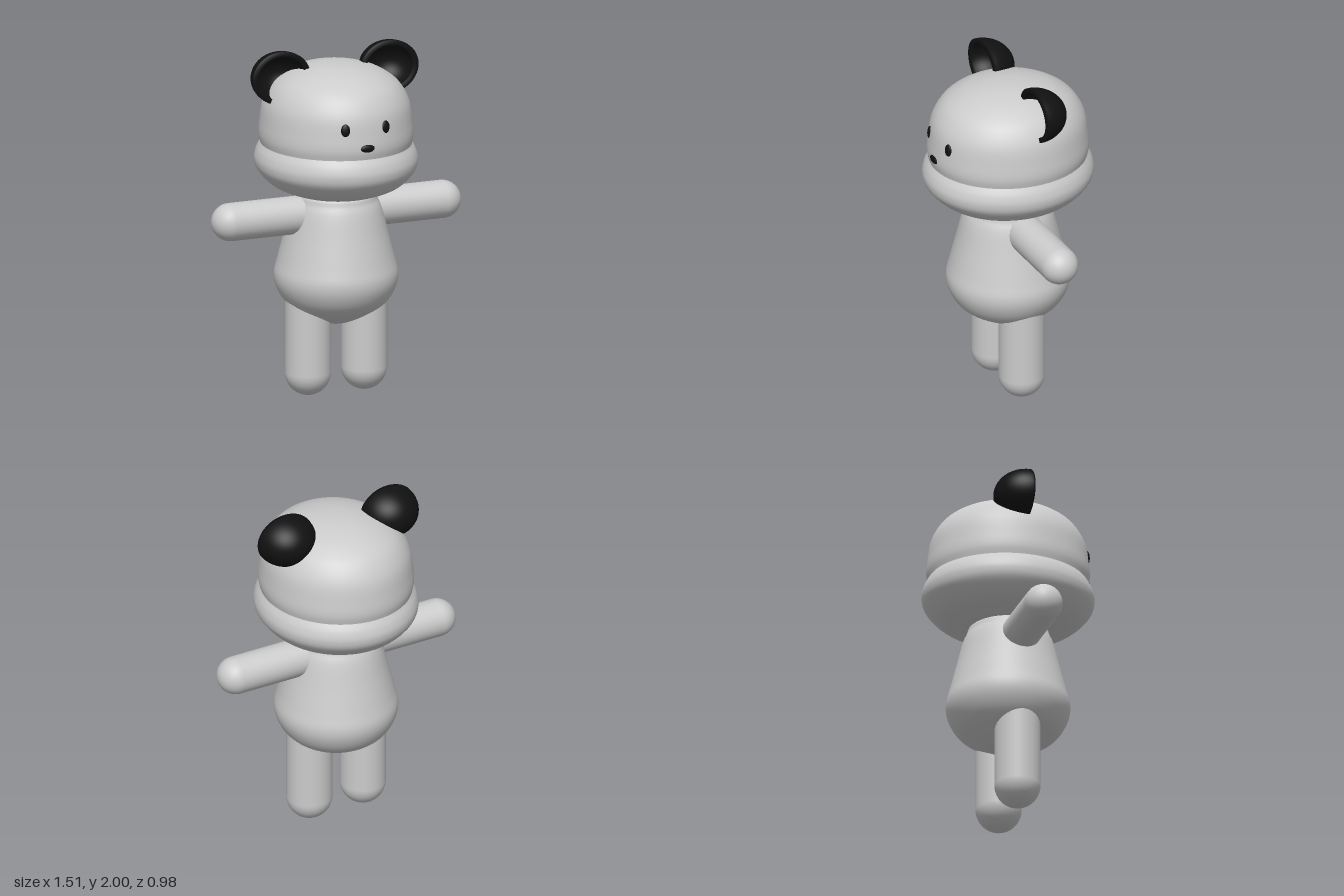
import * as THREE from 'three';

const grey = new THREE.MeshStandardMaterial({ color: 0xcccccc });
const black = new THREE.MeshStandardMaterial({ color: 0x111111, side: THREE.DoubleSide });

function add(parent, name, geometry, material = grey) {
  const mesh = new THREE.Mesh(geometry, material);
  mesh.name = name;
  parent.add(mesh);
  return mesh;
}

// Smooth surface of revolution through [radius, height] points, bottom to top
function turned(points, depth = 1) {
  const curve = new THREE.SplineCurve(points.map(([r, y]) => new THREE.Vector2(r, y)));
  const profile = curve.getPoints(48);
  profile.forEach((p) => { p.x = Math.max(p.x, 0); });
  return new THREE.LatheGeometry(profile, 64).scale(1, 1, depth);
}

// Round-ended limb between two heights along y
function limb(radius, bottom, top) {
  const geometry = new THREE.CapsuleGeometry(radius, top - bottom - 2 * radius, 12, 32);
  return geometry.translate(0, (top + bottom) / 2, 0);
}

// Hollow half-sphere with a thick rim, open toward +z
function earCup() {
  const profile = [];
  const steps = 20;
  for (let i = 0; i <= steps; i++) {
    const a = (i / steps) * Math.PI / 2;
    profile.push(new THREE.Vector2(Math.sin(a), -Math.cos(a)));
  }
  for (let i = steps; i >= 0; i--) {
    const a = (i / steps) * Math.PI / 2;
    profile.push(new THREE.Vector2(0.82 * Math.sin(a), -0.8 * Math.cos(a)));
  }
  return new THREE.LatheGeometry(profile, 48).rotateX(Math.PI / 2).scale(0.175, 0.153, 0.185);
}

export function createModel() {
  const model = new THREE.Group();
  model.name = 'bearFigure';

  // Pear-shaped body
  add(model, 'body', turned([
    [0, 0.39], [0.1, 0.42], [0.2, 0.47], [0.285, 0.53], [0.335, 0.61], [0.35, 0.69],
    [0.33, 0.78], [0.292, 0.93], [0.26, 1.06], [0.235, 1.12], [0.2, 1.17], [0, 1.2],
  ]));

  // Head: wide jaw below a crease, domed crown above it
  const head = new THREE.Group();
  head.name = 'head';
  model.add(head);
  const depth = 1.075;
  add(head, 'jaw', turned([
    [0, 1.135], [0.12, 1.142], [0.24, 1.165], [0.36, 1.215], [0.435, 1.29],
    [0.455, 1.35], [0.445, 1.405], [0.421, 1.45],
  ], depth));
  add(head, 'crown', turned([
    [0.421, 1.45], [0.43, 1.5], [0.426, 1.57], [0.407, 1.69], [0.355, 1.785],
    [0.28, 1.845], [0.2, 1.88], [0.1, 1.903], [0, 1.91],
  ], depth));

  // Flattened face features lying on the head surface
  const feature = (name, x, y, w, h, radius) => {
    const mesh = add(head, name, new THREE.SphereGeometry(1, 24, 16).scale(w, h, 0.012), black);
    mesh.position.set(x, y, depth * Math.sqrt(radius * radius - x * x));
    mesh.rotation.set(-0.1, Math.atan2(x, mesh.position.z), 0, 'YXZ');
  };
  feature('rightEye', -0.127, 1.625, 0.026, 0.036, 0.418);
  feature('leftEye', 0.117, 1.625, 0.026, 0.036, 0.418);
  feature('nose', -0.005, 1.517, 0.042, 0.022, 0.429);

  // Paired ears, arms and legs
  for (const [side, s] of [['left', 1], ['right', -1]]) {
    add(head, side + 'Ear', earCup(), black).position.set(s * 0.33, 1.847, 0);

    const arm = add(model, side + 'Arm', limb(0.108, 0.12, 0.755));
    arm.rotation.z = -s * Math.PI / 2;
    arm.position.y = 1.048;

    add(model, side + 'Leg', limb(0.13, 0, 0.68)).position.x = s * 0.172;
  }
  return model;
}
